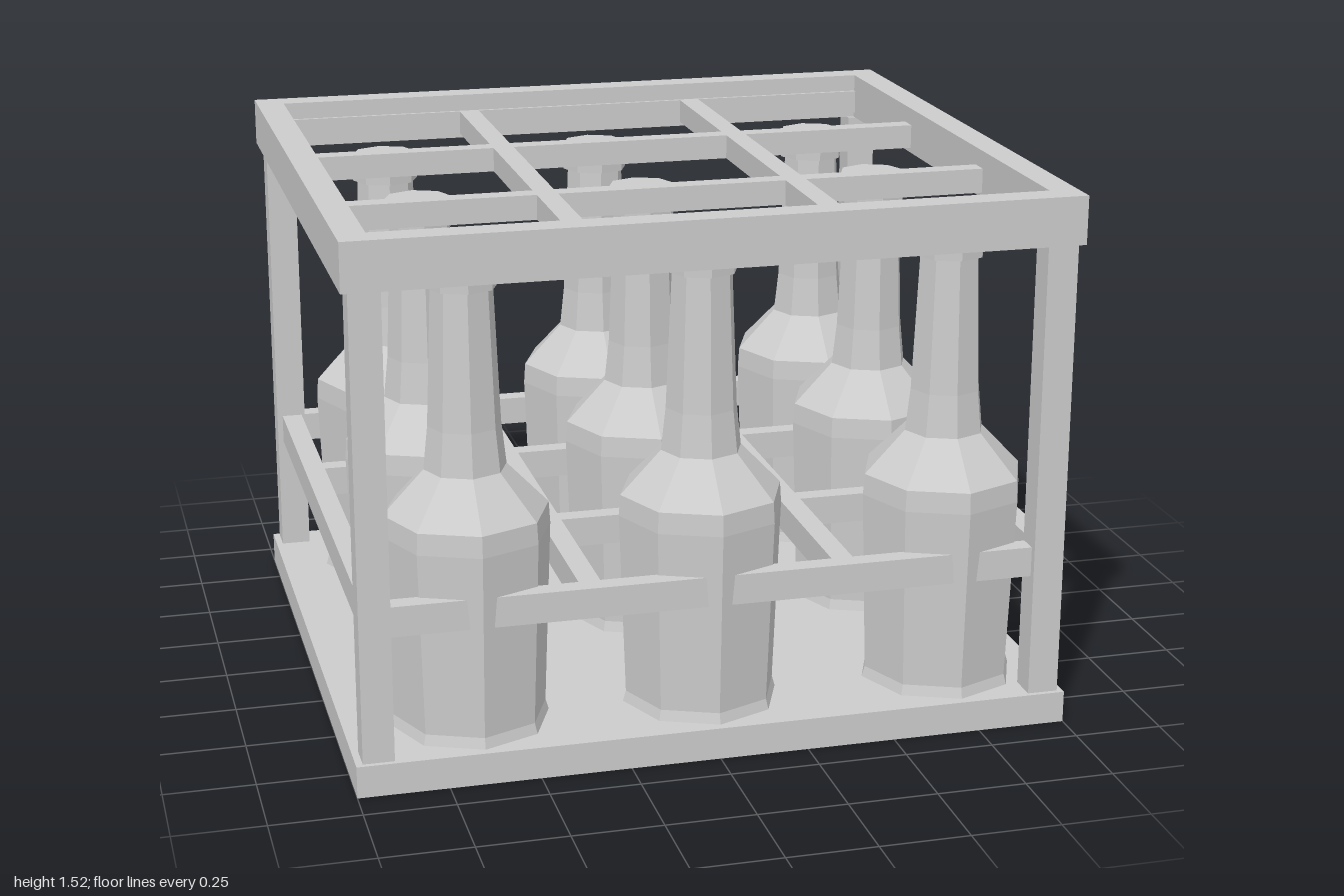
import * as THREE from 'three';

const material = new THREE.MeshStandardMaterial({ color: 0xcccccc, flatShading: true });

// Box given by its minimum and maximum corners
function box(parent, name, min, max) {
  const size = max.map((v, i) => v - min[i]);
  const mesh = new THREE.Mesh(new THREE.BoxGeometry(...size), material);
  mesh.position.set(...max.map((v, i) => (v + min[i]) / 2));
  mesh.name = name;
  parent.add(mesh);
}

// Rectangular ring with one opening, extruded upward
function createTopFrame() {
  const rect = (target, x, z) => {
    target.moveTo(-x, -z);
    target.lineTo(x, -z);
    target.lineTo(x, z);
    target.lineTo(-x, z);
    target.closePath();
    return target;
  };
  const shape = rect(new THREE.Shape(), 1, 0.9);
  shape.holes.push(rect(new THREE.Path(), 0.92, 0.82));
  const geometry = new THREE.ExtrudeGeometry(shape, { depth: 0.135, bevelEnabled: false });
  geometry.rotateX(-Math.PI / 2);
  const mesh = new THREE.Mesh(geometry, material);
  mesh.position.y = 1.385;
  mesh.name = 'topFrame';
  return mesh;
}

// Divider grid: four bars each way, the outer ones serving as rails
function createDivider(name, bottom, top) {
  const group = new THREE.Group();
  group.name = name;
  for (const x of [-0.935, -0.345, 0.365, 0.95]) {
    box(group, 'lengthwiseBar', [x - 0.03, bottom, -0.865], [x + 0.03, top, 0.865]);
  }
  for (const z of [-0.837, -0.3, 0.303, 0.837]) {
    box(group, 'crosswiseBar', [-0.96, bottom, z - 0.028], [0.975, top, z + 0.028]);
  }
  return group;
}

// Eight-sided bottle with its cap
const bottleProfile = [
  [0, 0.085], [0.222, 0.085], [0.212, 0.12], [0.231, 0.64], [0.227, 0.70],
  [0.113, 0.82], [0.1, 0.94], [0.084, 1.325],
].map(([r, y]) => new THREE.Vector2(r, y));
const bottleGeometry = new THREE.LatheGeometry(bottleProfile, 8);
const capGeometry = new THREE.CylinderGeometry(0.098, 0.098, 0.08, 8);

function createBottle(x, z) {
  const group = new THREE.Group();
  group.name = 'bottle';
  const glass = new THREE.Mesh(bottleGeometry, material);
  glass.name = 'bottleBody';
  const cap = new THREE.Mesh(capGeometry, material);
  cap.name = 'bottleCap';
  cap.position.y = 1.36;
  group.add(glass, cap);
  group.position.set(x, 0, z);
  return group;
}

export function createModel() {
  const model = new THREE.Group();
  model.name = 'bottleCrate';

  // Crate
  box(model, 'base', [-1, 0, -0.9], [1, 0.09, 0.9]);
  model.add(createTopFrame());
  for (const x of [-0.938, 0.941]) {
    for (const z of [-0.847, 0.845]) {
      box(model, 'cornerPost', [x - 0.043, 0.09, z - 0.041], [x + 0.043, 1.385, z + 0.041]);
    }
  }
  model.add(createDivider('middleDivider', 0.435, 0.52));
  model.add(createDivider('upperDivider', 1.4, 1.47));

  // Three rows of three bottles
  for (const x of [-0.648, 0.005, 0.705]) {
    for (const z of [-0.597, 0, 0.655]) model.add(createBottle(x, z));
  }
  return model;
}
